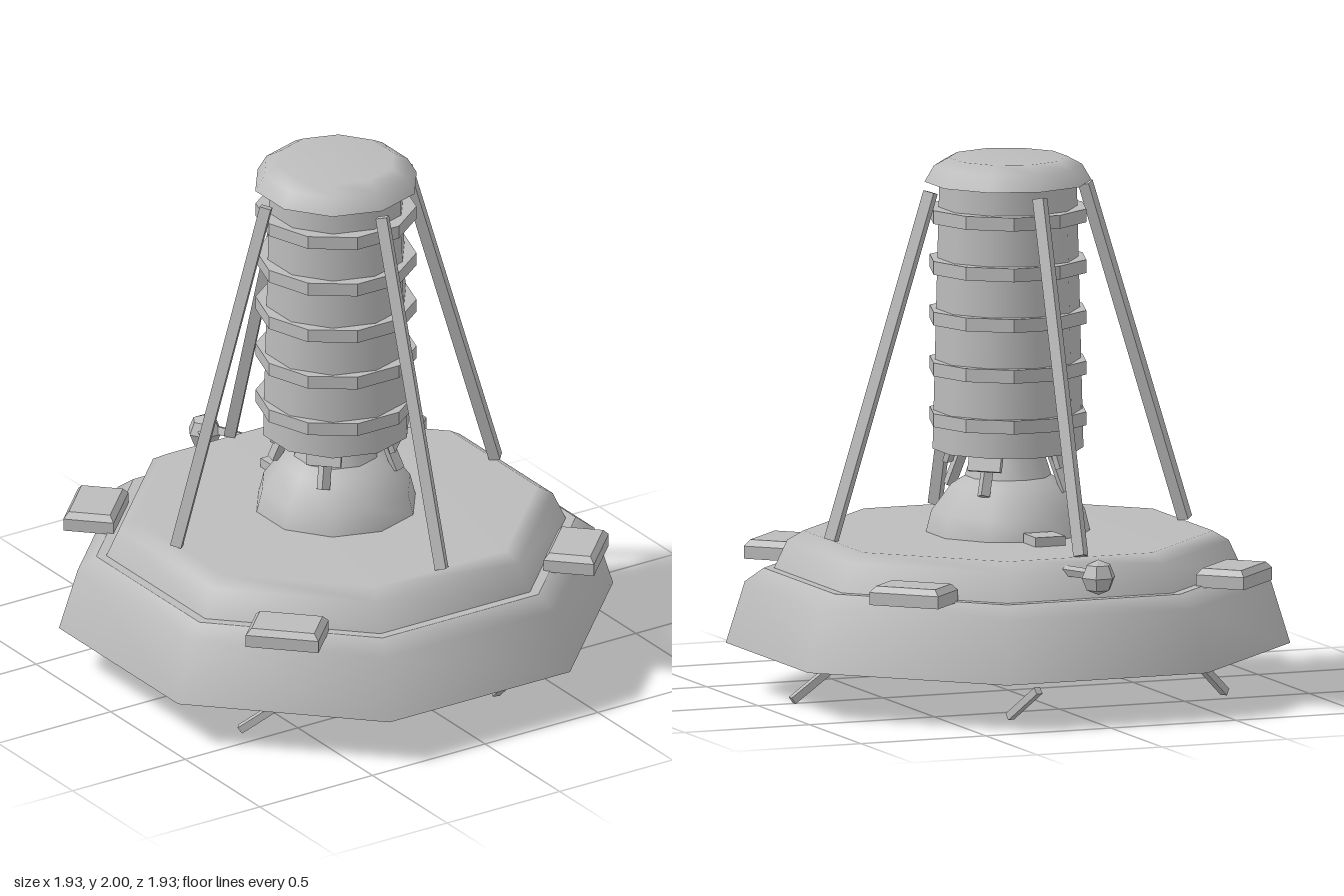
import * as THREE from 'three';

export function createModel() {
  const model = new THREE.Group();
  const grey = new THREE.MeshStandardMaterial({ color: 0xbcbcbc });
  grey.name = 'plain grey';
  const UP = new THREE.Vector3(0, 1, 0);

  const add = (name, geometry, parent = model) => {
    const mesh = new THREE.Mesh(geometry, grey);
    mesh.name = name;
    parent.add(mesh);
    return mesh;
  };
  // Smooth turned piece; profile runs from bottom to top
  const turned = (name, sides, start, profile) =>
    add(name, new THREE.LatheGeometry(profile.map(([r, y]) => new THREE.Vector2(r, y)), sides, start));
  const octagon = (name, profile) =>
    turned(name, 8, Math.PI / 8, profile.map(([r, y]) => [r / Math.cos(Math.PI / 8), y]));
  const faceted = (geometry) => {
    const flat = geometry.toNonIndexed();
    flat.computeVertexNormals();
    return flat;
  };
  // Straight rod between two points
  const rod = (name, a, b, radius, sides, parent = model) => {
    const from = new THREE.Vector3(...a), to = new THREE.Vector3(...b);
    const mesh = add(name, faceted(new THREE.CylinderGeometry(radius, radius, from.distanceTo(to), sides)), parent);
    mesh.position.copy(from).lerp(to, 0.5);
    mesh.quaternion.setFromUnitVectors(UP, to.sub(from).normalize());
    return mesh;
  };

  // Two-tier octagonal base
  octagon('baseUnderside', [[0, 0.18], [0.965, 0.18]]);
  octagon('lowerBase', [[0.965, 0.18], [0.9, 0.41], [0.835, 0.46]]);
  octagon('baseLedge', [[0.835, 0.46], [0.7, 0.46]]);
  octagon('upperBase', [[0.8, 0.46], [0.755, 0.565], [0.7, 0.6], [0, 0.6]]);

  // Dome and neck under the tower
  turned('dome', 10, 0, [[0.305, 0.6], [0.285, 0.68], [0.21, 0.78], [0.11, 0.84], [0, 0.86]]);
  turned('neck', 10, 0, [[0.18, 0.75], [0.125, 0.92]]);

  // Tower tube, its bands and its cap
  turned('towerUnderside', 10, 0, [[0, 0.91], [0.28, 0.91]]);
  turned('tower', 10, 0, [[0.28, 0.91], [0.255, 1.92]]);
  for (let i = 0; i < 5; i++) {
    const band = add('towerBand', faceted(new THREE.CylinderGeometry(0.298, 0.298, 0.05, 10)));
    band.position.y = 1.03 + i * 0.19;
    band.rotation.y = Math.PI / 10;
  }
  turned('capUnderside', 10, 0, [[0, 1.91], [0.31, 1.91]]);
  turned('cap', 10, 0, [[0.31, 1.91], [0.275, 1.97], [0.22, 2], [0, 2]]);

  // Parts repeated in quarters
  for (let i = 0; i < 4; i++) {
    const straight = new THREE.Group();
    straight.name = 'braceQuarter';
    straight.rotation.y = i * Math.PI / 2;
    model.add(straight);
    rod('brace', [0, 0.605, 0.708], [0, 1.885, 0.31], 0.03, 4, straight);

    const diagonal = new THREE.Group();
    diagonal.name = 'padQuarter';
    diagonal.rotation.y = Math.PI / 4 + i * Math.PI / 2;
    model.add(diagonal);

    // Pad on the rim with a bevelled top
    const pad = new THREE.BoxGeometry(0.275, 0.07, 0.19, 1, 2, 1);
    const p = pad.attributes.position;
    for (let v = 0; v < p.count; v++) {
      if (p.getY(v) > 0.01) p.setXYZ(v, p.getX(v) * 0.86, 0.035, p.getZ(v) * 0.82);
      else if (p.getY(v) > -0.01) p.setY(v, 0.012);
    }
    add('rimPad', faceted(pad), diagonal).position.set(0, 0.49, 0.907);

    // Neck flap and stay
    const flap = add('neckFlap', new THREE.BoxGeometry(0.13, 0.08, 0.02), diagonal);
    flap.position.set(0, 0.89, 0.215);
    flap.rotation.x = -0.3;
    rod('neckStay', [0, 0.9, 0.18], [0, 0.76, 0.235], 0.025, 4, diagonal);
  }

  // Five slanted feet beneath the base
  for (let i = 0; i < 5; i++) {
    const a = i * Math.PI * 2 / 5;
    const foot = add('foot', new THREE.BoxGeometry(0.2, 0.028, 0.028));
    foot.position.set(0.782 * Math.cos(a), 0.072, 0.782 * Math.sin(a));
    foot.rotation.set(0, a, -0.62);
  }

  // Rear ball on a forked arm
  for (const s of [-1, 1]) rod('rearFork', [s * 0.085, 0.56, -0.72], [s * 0.025, 0.56, -0.86], 0.02, 4);
  const ball = add('rearBall', faceted(new THREE.SphereGeometry(0.066, 6, 4)));
  ball.position.set(0, 0.55, -0.88);

  // Small block behind the dome
  add('rearBlock', new THREE.BoxGeometry(0.12, 0.05, 0.12)).position.set(0, 0.61, -0.355);

  return model;
}
